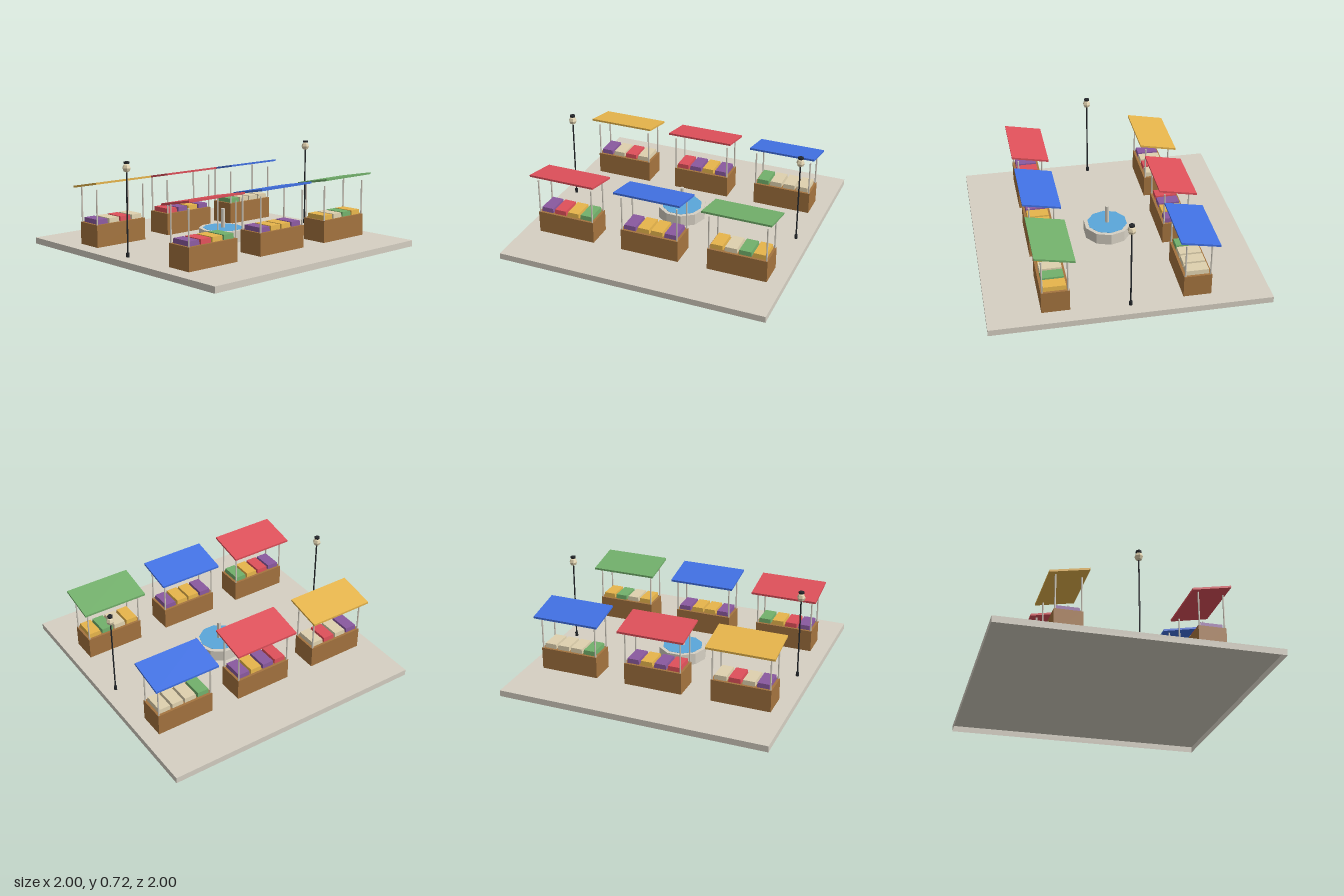
import * as THREE from 'three';

const mat = (name, color) => {
  const m = new THREE.MeshStandardMaterial({ color });
  m.name = name;
  return m;
};

export function createModel() {
  const M = {
    stone: mat('stone', 0xd6d0c3),
    wood: mat('wood', 0xa5743f),
    red: mat('red', 0xdf505a),
    blue: mat('blue', 0x4171e4),
    green: mat('green', 0x72b06b),
    yellow: mat('yellow', 0xe7b54b),
    purple: mat('purple', 0x8a599f),
    cream: mat('cream', 0xdfd1ae),
    iron: mat('iron', 0x24272b),
    water: mat('water', 0x5aa7da),
  };
  // the ground is a thin open shell
  M.stone.side = THREE.DoubleSide;

  const root = new THREE.Group();
  root.name = 'marketSquare';

  const add = (parent, name, geo, material, x = 0, y = 0, z = 0) => {
    const mesh = new THREE.Mesh(geo, material);
    mesh.name = name;
    mesh.position.set(x, y, z);
    parent.add(mesh);
    return mesh;
  };
  const group = (name, x, z) => {
    const g = new THREE.Group();
    g.name = name;
    g.position.set(x, 0, z);
    root.add(g);
    return g;
  };
  // round rod with smooth sides
  const rod = (r, h) => new THREE.CylinderGeometry(r, r, h, 8);
  const faceted = (geo) => {
    const flat = geo.toNonIndexed();
    flat.computeVertexNormals();
    return flat;
  };
  // faceted prism with corners on the x axis
  const prism = (r, h, sides) => faceted(new THREE.CylinderGeometry(r, r, h, sides).rotateY(Math.PI / 2));
  // box whose corners are moved by a rule
  const shapedBox = (w, h, d, rule) => {
    const geo = new THREE.BoxGeometry(w, h, d);
    const p = geo.attributes.position;
    for (let i = 0; i < p.count; i++) p.setXYZ(i, ...rule(p.getX(i), p.getY(i), p.getZ(i)));
    geo.computeVertexNormals();
    return geo;
  };

  // paved ground: top surface and four edge strips, open underneath
  const ground = group('ground', 0, 0);
  add(ground, 'paving', new THREE.PlaneGeometry(2, 2).rotateX(-Math.PI / 2), M.stone, 0, 0.046, 0);
  const strip = new THREE.PlaneGeometry(2, 0.046).translate(0, 0.023, 1);
  for (let i = 0; i < 4; i++) add(ground, 'edge', strip, M.stone).rotation.y = (i * Math.PI) / 2;

  // produce crate narrows slightly to the top; awning slopes down to the back with upright edges
  const crate = shapedBox(0.092, 0.036, 0.164, (x, y, z) => (y > 0 ? [x * 0.94, y, z * 0.97] : [x, y, z]));
  const awningBoard = shapedBox(0.5, 0.015, 0.28, (x, y, z) => [x, y + z * 0.195, z]);
  const counter = new THREE.BoxGeometry(0.44, 0.165, 0.2);
  const post = rod(0.006, 0.42);

  // stall: counter, four posts, sloped awning, four crates
  const stall = (x, z, awning, goods) => {
    const g = group('stall', x, z);
    add(g, 'counter', counter, M.wood, 0, 0.1295, 0);
    for (const sx of [-1, 1]) {
      for (const sz of [-1, 1]) add(g, 'post', post, M.stone, sx * 0.211, 0.26, sz * 0.09);
    }
    add(g, 'awning', awningBoard, M[awning], 0, 0.4965, 0);
    goods.forEach((c, i) => add(g, 'crate', crate, M[c], (i - 1.5) * 0.104, 0.228, 0));
  };
  stall(-0.66, 0.52, 'red', ['purple', 'red', 'yellow', 'green']);
  stall(0, 0.52, 'blue', ['purple', 'yellow', 'yellow', 'purple']);
  stall(0.66, 0.52, 'green', ['yellow', 'cream', 'green', 'yellow']);
  stall(-0.66, -0.48, 'yellow', ['purple', 'cream', 'red', 'cream']);
  stall(0, -0.48, 'red', ['red', 'purple', 'yellow', 'purple']);
  stall(0.66, -0.48, 'blue', ['green', 'cream', 'cream', 'cream']);

  // ten-sided fountain
  const fountain = group('fountain', 0, 0);
  add(fountain, 'basin', prism(0.18, 0.087, 10), M.stone, 0, 0.0905, 0);
  add(fountain, 'water', prism(0.151, 0.006, 10), M.water, 0, 0.1325, 0);
  add(fountain, 'spout', prism(0.016, 0.15, 6), M.stone, 0, 0.203, 0);

  // lamp posts on both sides
  const lantern = faceted(new THREE.SphereGeometry(0.031, 6, 4));
  for (const x of [-0.9, 0.9]) {
    const lamp = group('lampPost', x, 0);
    add(lamp, 'foot', rod(0.012, 0.03), M.iron, 0, 0.062, 0);
    add(lamp, 'pole', rod(0.0055, 0.6), M.iron, 0, 0.348, 0);
    add(lamp, 'lantern', lantern, M.cream, 0, 0.671, 0);
    add(lamp, 'cap', prism(0.021, 0.014, 6), M.iron, 0, 0.709, 0);
  }

  return root;
}
